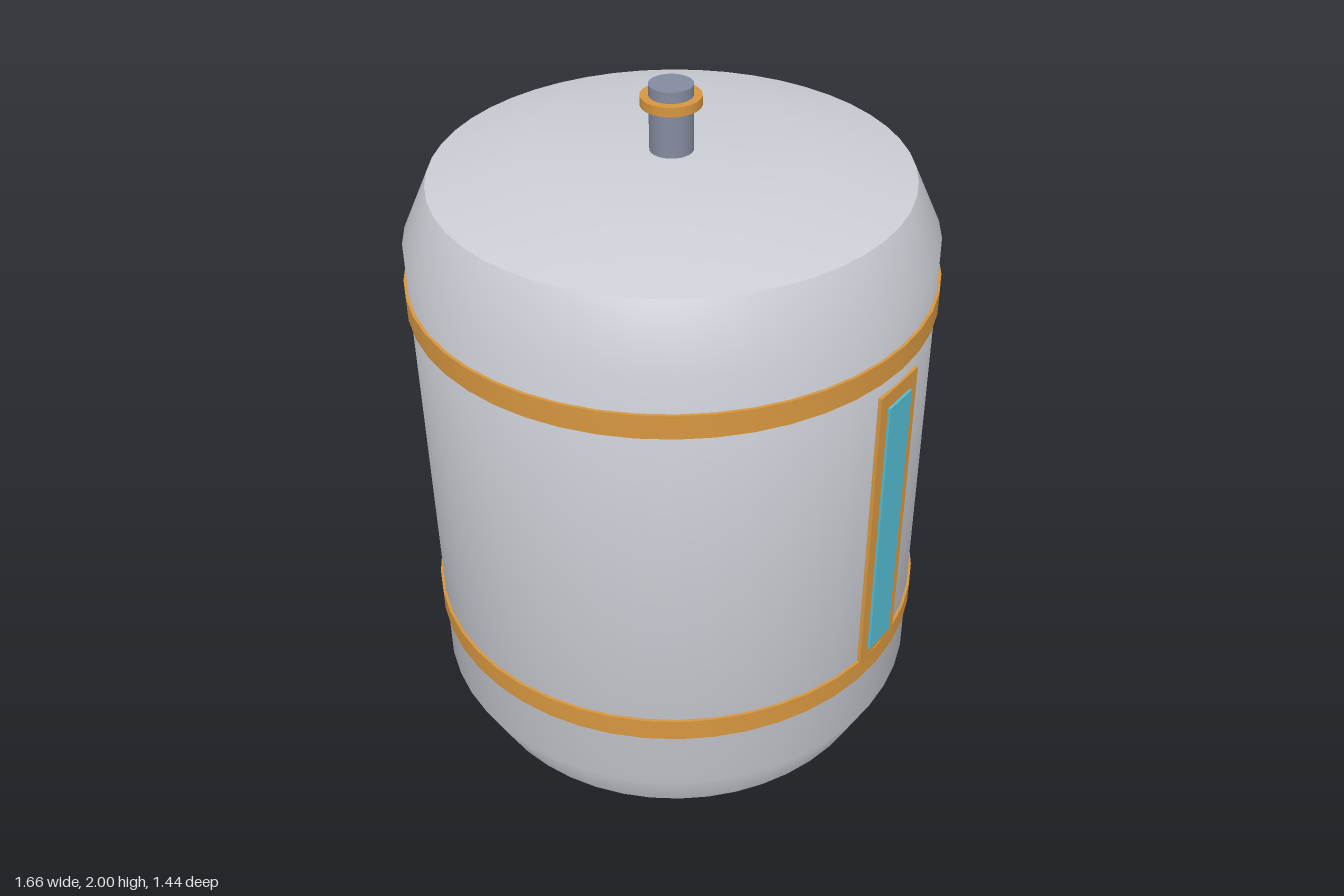
import * as THREE from 'three';
import { toCreasedNormals } from 'three/addons/utils/BufferGeometryUtils.js';

const material = (name, color) => {
  const m = new THREE.MeshStandardMaterial({ color });
  m.name = name;
  return m;
};

export function createModel() {
  const steel = material('tank steel', 0xcbced5);
  const brass = material('brass', 0xd6963f);
  const pipeGrey = material('pipe grey', 0x858b9f);
  const glass = material('gauge glass', 0x54bcd2);

  const model = new THREE.Group();
  model.name = 'storageTank';
  const tank = new THREE.Group(); // everything is centred on the tank axis
  tank.name = 'tank';
  tank.position.x = -0.117;
  model.add(tank);

  const add = (name, geometry, mat, x = 0, y = 0, z = 0) => {
    const mesh = new THREE.Mesh(geometry, mat);
    mesh.name = name;
    mesh.position.set(x, y, z);
    tank.add(mesh);
    return mesh;
  };
  const lathe = (points, segments = 48) => toCreasedNormals(
    new THREE.LatheGeometry(points.map(([r, y]) => new THREE.Vector2(r, y)), segments), 0.6);

  // Tank shell with shallow domed ends
  add('tankBody', lathe([
    [0, 0.008], [0.39, 0.008], [0.635, 0.065], [0.708, 0.22],
    [0.708, 1.6], [0.635, 1.76], [0.39, 1.82], [0, 1.82],
  ]), steel);

  // Two hoops
  for (const [name, y] of [['lowerBand', 0.405], ['upperBand', 1.425]]) {
    add(name, lathe([
      [0.7, y], [0.716, y], [0.716, y + 0.067], [0.7, y + 0.067],
    ]), brass);
  }

  // Level gauge on the front
  add('gaugeFrame', new THREE.BoxGeometry(0.177, 0.93, 0.035), brass, 0, 0.915, 0.6955);
  add('gaugeWindow', new THREE.BoxGeometry(0.107, 0.835, 0.008), glass, 0, 0.915, 0.716);

  // Top outlet
  add('topPipe', new THREE.CylinderGeometry(0.058, 0.058, 0.2, 24), pipeGrey, 0, 1.9, 0);
  add('topCollar', new THREE.CylinderGeometry(0.08, 0.08, 0.026, 24), brass, 0, 1.957, 0);

  // Side outlet on the model's left
  add('sidePipe', new THREE.CylinderGeometry(0.05, 0.05, 0.27, 24), pipeGrey, 0.814, 0.288, 0)
    .rotation.z = -Math.PI / 2;
  add('sideCollar', new THREE.CylinderGeometry(0.069, 0.069, 0.08, 24), brass, 0.848, 0.288, 0)
    .rotation.z = -Math.PI / 2;

  // Three small feet
  for (let i = 0; i < 3; i++) {
    const a = i * Math.PI * 2 / 3;
    add('foot', new THREE.BoxGeometry(0.092, 0.045, 0.086), pipeGrey,
      Math.sin(a) * 0.495, 0.0225, Math.cos(a) * 0.495);
  }
  return model;
}
